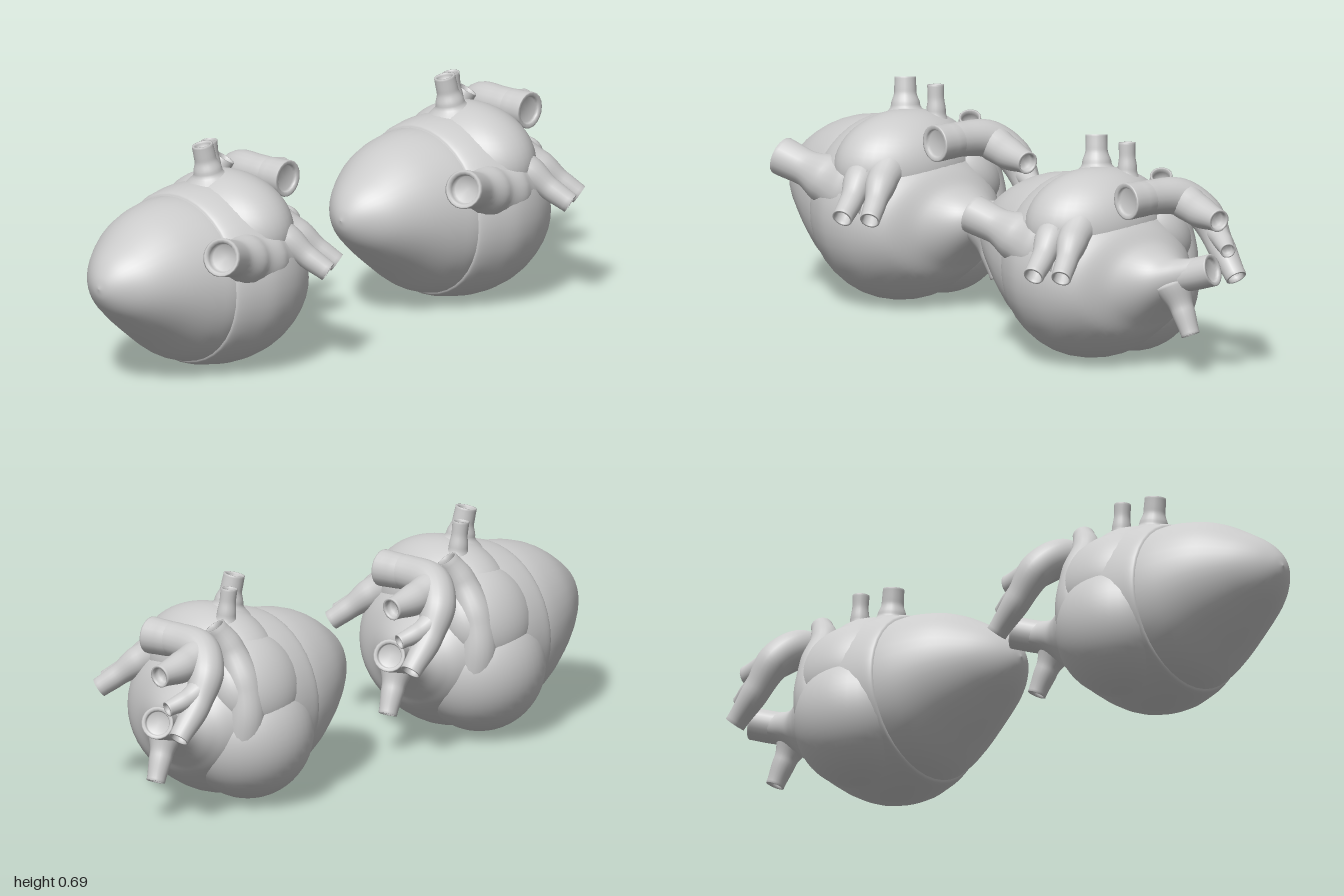
import * as THREE from 'three';

const material = new THREE.MeshStandardMaterial({ color: 0xcccccc, side: THREE.DoubleSide });
const SIDES = 40;

// Smooth skin over a list of rings, each with the same number of points
function skin(name, rings) {
  const n = rings[0].length, pos = [], index = [];
  for (const ring of rings) for (const p of ring) pos.push(p.x, p.y, p.z);
  for (let i = 0; i < rings.length - 1; i++) {
    for (let j = 0; j < n; j++) {
      const a = i * n + j, b = i * n + (j + 1) % n;
      index.push(a, b, a + n, b, b + n, a + n);
    }
  }
  const g = new THREE.BufferGeometry();
  g.setAttribute('position', new THREE.Float32BufferAttribute(pos, 3));
  g.setIndex(index);
  g.computeVertexNormals();
  const mesh = new THREE.Mesh(g, material);
  mesh.name = name;
  return mesh;
}

// Elliptic loft along z; stations are [z, left, right, bottom, top]
function loft(name, stations, steps) {
  const spans = new THREE.CatmullRomCurve3(stations.map(s => new THREE.Vector3(s[0], s[1], s[2])), false, 'centripetal');
  const heights = new THREE.CatmullRomCurve3(stations.map(s => new THREE.Vector3(s[0], s[3], s[4])), false, 'centripetal');
  const rings = [];
  for (let i = 0; i <= steps; i++) {
    const s = spans.getPoint(i / steps), h = heights.getPoint(i / steps);
    const ring = [];
    for (let j = 0; j < SIDES; j++) {
      const t = j / SIDES * Math.PI * 2;
      ring.push(new THREE.Vector3(
        (s.y + s.z) / 2 + (s.z - s.y) / 2 * Math.cos(t),
        (h.y + h.z) / 2 + (h.z - h.y) / 2 * Math.sin(t), s.x));
    }
    rings.push(ring);
  }
  return skin(name, rings);
}

// Vessel through points [x, y, z, radius], ending in a hollow mouth
function vessel(name, points, steps = 24) {
  const n = 20;
  const curve = new THREE.CatmullRomCurve3(points.map(p => new THREE.Vector3(p[0], p[1], p[2])), false, 'centripetal');
  const frames = curve.computeFrenetFrames(steps, false);
  const radius = u => {
    // uniform parameter keeps radii at their own points
    const f = curve.getUtoTmapping(u) * (points.length - 1);
    const i = Math.min(Math.floor(f), points.length - 2);
    const k = THREE.MathUtils.smoothstep(f - i, 0, 1);
    return THREE.MathUtils.lerp(points[i][3], points[i + 1][3], k);
  };
  const ring = (step, scale) => {
    const c = curve.getPointAt(step / steps), r = radius(step / steps) * scale, out = [];
    for (let j = 0; j < n; j++) {
      const t = j / n * Math.PI * 2;
      out.push(c.clone()
        .addScaledVector(frames.normals[step], Math.cos(t) * r)
        .addScaledVector(frames.binormals[step], Math.sin(t) * r));
    }
    return out;
  };
  const rings = [ring(0, 0.001), ring(0, 0.7)];
  for (let i = 1; i <= steps; i++) rings.push(ring(i, 1));
  rings.push(ring(steps, 0.93), ring(steps, 0.8), ring(steps - 1, 0.74), ring(steps - 3, 0.7), ring(steps - 3, 0.001));
  return skin(name, rings);
}

function bulge(name, center, radii, tilt = 0) {
  const mesh = new THREE.Mesh(new THREE.SphereGeometry(1, 40, 28), material);
  mesh.name = name;
  mesh.position.set(...center);
  mesh.scale.set(...radii);
  mesh.rotation.z = tilt;
  return mesh;
}

function createHeart() {
  const heart = new THREE.Group();
  heart.add(
    // Pointed lower chamber, facing forward
    loft('apex', [
      [0.58, -0.28, 0.222, 0.035, 0.535], [0.63, -0.285, 0.228, 0.027, 0.543],
      [0.7, -0.272, 0.213, 0.047, 0.54], [0.8, -0.23, 0.18, 0.118, 0.513],
      [0.9, -0.158, 0.13, 0.197, 0.456], [0.96, -0.095, 0.075, 0.25, 0.41],
      [0.99, -0.045, 0.03, 0.295, 0.367], [1, -0.008, -0.007, 0.33, 0.331]], 44),
    // Main body behind the seam, drawn out into the rear trunk
    loft('body', [
      [0.1, -0.178, -0.08, 0.268, 0.365], [0.15, -0.168, -0.04, 0.243, 0.355],
      [0.2, -0.178, 0.01, 0.2, 0.355], [0.25, -0.208, 0.09, 0.145, 0.385],
      [0.3, -0.24, 0.195, 0.085, 0.45], [0.4, -0.288, 0.26, 0.02, 0.54],
      [0.5, -0.304, 0.276, 0.001, 0.57], [0.58, -0.302, 0.258, 0.006, 0.568],
      [0.635, -0.291, 0.234, 0.02, 0.553], [0.642, -0.28, 0.224, 0.03, 0.543]], 64),
    // Swollen chambers on the body
    bulge('upperChamber', [0, 0.43, 0.46], [0.24, 0.168, 0.168]),
    bulge('rightAtrium', [-0.185, 0.385, 0.455], [0.112, 0.16, 0.165], -0.5),
    bulge('rightVentricle', [-0.145, 0.216, 0.475], [0.198, 0.205, 0.205]),
    // Crescent running up the right side to an open vein
    vessel('upperVein', [
      [-0.12, 0.12, 0.36, 0.045], [-0.205, 0.17, 0.36, 0.055], [-0.238, 0.29, 0.365, 0.06],
      [-0.225, 0.4, 0.37, 0.056], [-0.175, 0.51, 0.36, 0.045], [-0.146, 0.58, 0.325, 0.034]], 40),
    // Wide outlet spreading from the left side, opening forward
    vessel('sideOutlet', [
      [0.12, 0.355, 0.4, 0.13], [0.165, 0.36, 0.5, 0.108], [0.2, 0.382, 0.58, 0.08],
      [0.233, 0.41, 0.66, 0.056], [0.264, 0.436, 0.742, 0.06]], 36),
    // Two spouts on top
    vessel('frontSpout', [
      [-0.03, 0.55, 0.5, 0.09], [-0.033, 0.6, 0.508, 0.045],
      [-0.037, 0.64, 0.515, 0.034], [-0.042, 0.685, 0.523, 0.033]]),
    vessel('rearSpout', [
      [-0.088, 0.52, 0.43, 0.06], [-0.094, 0.585, 0.432, 0.03],
      [-0.096, 0.63, 0.436, 0.025], [-0.098, 0.668, 0.44, 0.026]]),
    // Large arched artery behind, free of the body, bending down to its end
    vessel('archArtery', [
      [0.02, 0.535, 0.24, 0.05], [-0.06, 0.535, 0.25, 0.054], [-0.16, 0.525, 0.245, 0.058],
      [-0.222, 0.475, 0.205, 0.055], [-0.24, 0.385, 0.145, 0.043], [-0.243, 0.295, 0.06, 0.033]], 44),
    vessel('archMouth', [[-0.06, 0.535, 0.25, 0.052], [-0.01, 0.535, 0.245, 0.055], [0.042, 0.535, 0.24, 0.057]]),
    vessel('upperBranch', [
      [-0.17, 0.515, 0.235, 0.056], [-0.172, 0.495, 0.16, 0.05], [-0.172, 0.482, 0.05, 0.035]]),
    vessel('smallBranch', [
      [-0.235, 0.43, 0.17, 0.04], [-0.225, 0.405, 0.11, 0.03], [-0.205, 0.385, 0.05, 0.024]]),
    // Open end of the trunk and its drooping side branch
    vessel('rearTrunk', [
      [-0.1, 0.298, 0.16, 0.05], [-0.13, 0.314, 0.105, 0.05], [-0.155, 0.33, 0.058, 0.05]]),
    vessel('rearTail', [
      [-0.085, 0.28, 0.175, 0.06], [-0.097, 0.2, 0.138, 0.036], [-0.105, 0.125, 0.105, 0.029]])
  );
  // Left pair of veins
  const veins = [
    [[0.1, 0.47, 0.47, 0.07], [0.2, 0.415, 0.41, 0.05], [0.262, 0.36, 0.37, 0.036], [0.318, 0.318, 0.337, 0.032]],
    [[0.09, 0.46, 0.4, 0.07], [0.175, 0.41, 0.335, 0.048], [0.228, 0.36, 0.29, 0.034], [0.272, 0.32, 0.255, 0.031]]
  ];
  for (const v of veins) heart.add(vessel('leftVein', v));
  return heart;
}

export function createModel() {
  const model = new THREE.Group();
  model.name = 'heartPair';
  // Two equal hearts, one behind the other
  ['frontHeart', 'rearHeart'].forEach((name, i) => {
    const heart = createHeart();
    heart.name = name;
    heart.position.z = -1.035 * i;
    model.add(heart);
  });
  return model;
}
